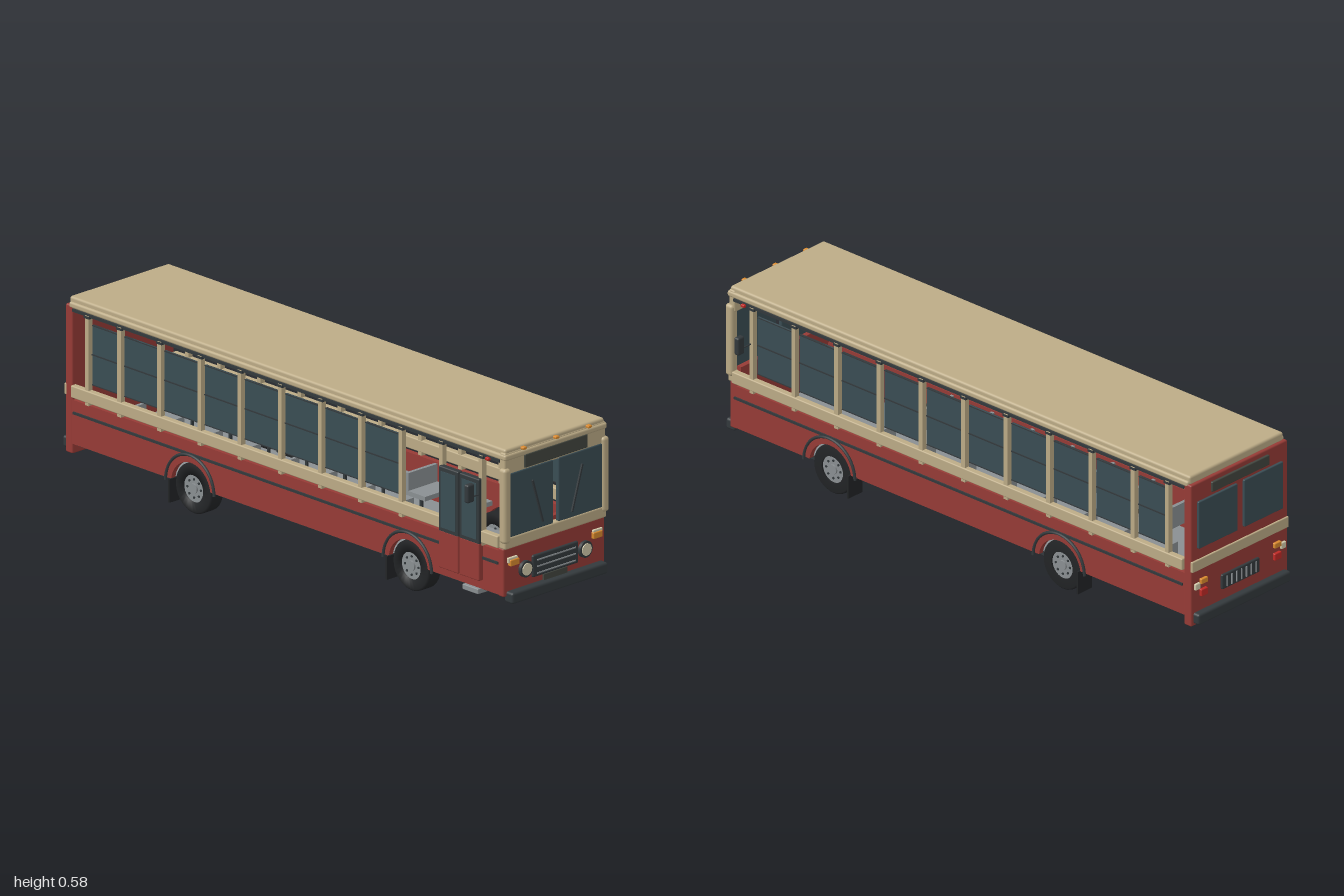
import * as THREE from 'three';
import { RoundedBoxGeometry } from 'three/addons/geometries/RoundedBoxGeometry.js';

const mat = (color) => new THREE.MeshStandardMaterial({ color });
const RED = mat(0x963b36), BEIGE = mat(0xbcab86), DARK = mat(0x33393c), GLASS = mat(0x3a4d54),
  BLACK = mat(0x222426), GREY = mat(0x8a8f92), ORANGE = mat(0xd98a2e), CREAM = mat(0xd2caab),
  LAMP = mat(0xc02a26), SIGN = mat(0x42463f);

export function createModel() {
  const bus = new THREE.Group();
  bus.name = 'bus';

  const add = (name, geo, material, x = 0, y = 0, z = 0) => {
    const m = new THREE.Mesh(geo, material);
    m.name = name;
    m.position.set(x, y, z);
    bus.add(m);
    return m;
  };
  // Box given by its limits; r > 0 rounds the edges
  const box = (name, material, [x0, x1], [y0, y1], [z0, z1], r = 0) => {
    const s = [x1 - x0, y1 - y0, z1 - z0];
    const geo = r ? new RoundedBoxGeometry(...s, 2, r) : new THREE.BoxGeometry(...s);
    return add(name, geo, material, (x0 + x1) / 2, (y0 + y1) / 2, (z0 + z1) / 2);
  };
  // The same box on both sides, given for +x
  const pair = (name, material, [x0, x1], y, z, r = 0) => {
    box(name, material, [x0, x1], y, z, r);
    box(name, material, [-x1, -x0], y, z, r);
  };

  // Lower side walls with wheel cut-outs
  const axles = [-0.42, 0.548], wheelY = 0.082, cut = 0.088, sill = 0.095;
  const a = Math.asin((sill - wheelY) / cut);
  const wall = new THREE.Shape();
  wall.moveTo(-0.95, sill);
  for (const z of axles) {
    wall.lineTo(z - cut * Math.cos(a), sill);
    wall.absarc(z, wheelY, cut, Math.PI - a, a, true);
  }
  wall.lineTo(0.96, sill).lineTo(0.96, 0.24).lineTo(-0.95, 0.24);
  const wallGeo = new THREE.ExtrudeGeometry(wall, { depth: 0.018, bevelEnabled: false, curveSegments: 16 });
  wallGeo.rotateY(-Math.PI / 2);
  add('sideWall', wallGeo, RED, 0.218);
  add('sideWall', wallGeo, RED, -0.2);

  // Floor and underside
  box('underside', DARK, [-0.2, 0.2], [0.085, 0.1], [-0.95, 0.95]);
  box('floor', GREY, [-0.2, 0.2], [0.1, 0.11], [-0.95, 0.95]);

  // Side trim and window rails
  pair('rubStrip', DARK, [0.216, 0.223], [0.195, 0.203], [-0.94, 0.95]);
  pair('beltRail', BEIGE, [0.205, 0.228], [0.25, 0.29], [-0.945, 0.955], 0.004);
  pair('dripRail', DARK, [0.205, 0.221], [0.531, 0.54], [-0.945, 0.955]);

  // Window posts and hung glass panes
  const posts = [0.875, 0.698, 0.518, 0.339, 0.161, -0.018, -0.197, -0.376, -0.555, -0.733, -0.877];
  posts.forEach((z, i) => {
    pair('windowPost', BEIGE, [0.206, 0.224], [0.24, 0.535], [z - 0.008, z + 0.008]);
    pair('railClip', DARK, [0.215, 0.225], [0.526, 0.534], [z - 0.012, z + 0.012]);
    if (i === posts.length - 1) return;
    const span = [posts[i + 1] + 0.013, z - 0.015];
    for (const s of [1, -1]) {
      if (s < 0 && i < 2) continue; // door and open bay on this side
      const xs = (p, q) => (s > 0 ? [p, q] : [-q, -p]);
      box('sideWindow', GLASS, xs(0.206, 0.212), [0.308, 0.506], span);
      box('windowRail', DARK, xs(0.205, 0.215), [0.407, 0.411], span);
      for (const y of [0.308, 0.503]) box('windowEdge', DARK, xs(0.205, 0.214), [y, y + 0.003], span);
    }
  });

  // Roof
  box('roof', BEIGE, [-0.213, 0.213], [0.545, 0.576], [-0.965, 0.975], 0.008);
  box('roofEdge', BEIGE, [-0.22, 0.22], [0.54, 0.56], [-0.962, 0.982], 0.007);

  // Front end
  box('frontWall', RED, [-0.218, 0.218], [0.09, 0.25], [0.945, 0.972], 0.006);
  box('dashboard', RED, [-0.2, 0.2], [0.24, 0.3], [0.94, 0.957]);
  box('frontBelt', BEIGE, [-0.219, 0.219], [0.248, 0.286], [0.95, 0.98], 0.006);
  box('frontHeader', BEIGE, [-0.217, 0.217], [0.49, 0.565], [0.952, 0.977], 0.006);
  pair('cornerPillar', BEIGE, [0.197, 0.226], [0.268, 0.515], [0.955, 0.987], 0.011);
  pair('windshield', GLASS, [0.012, 0.2], [0.285, 0.495], [0.965, 0.98], 0.004);
  box('frontSign', SIGN, [-0.135, 0.135], [0.499, 0.543], [0.97, 0.983], 0.003);
  box('frontBumper', DARK, [-0.206, 0.206], [0.071, 0.108], [0.962, 1.0], 0.008);
  box('numberPlate', SIGN, [-0.051, 0.051], [0.105, 0.127], [0.97, 0.979]);
  box('frontGrille', DARK, [-0.098, 0.098], [0.128, 0.2], [0.965, 0.98], 0.005);
  for (const y of [0.14, 0.162, 0.183]) box('grilleBar', GREY, [-0.083, 0.083], [y - 0.002, y + 0.002], [0.978, 0.983]);
  pair('signalHousing', CREAM, [0.162, 0.203], [0.2, 0.218], [0.965, 0.979], 0.003);
  pair('turnSignal', ORANGE, [0.159, 0.198], [0.19, 0.211], [0.968, 0.984], 0.003);
  for (const x of [-0.14, 0, 0.14]) box('roofLight', ORANGE, [x - 0.008, x + 0.008], [0.562, 0.571], [0.967, 0.988], 0.003);

  const disc = (r, d) => new THREE.CylinderGeometry(r, r, d, 24).rotateX(Math.PI / 2);
  for (const s of [1, -1]) {
    add('headlightRing', disc(0.027, 0.014), DARK, s * 0.128, 0.165, 0.976);
    add('headlight', disc(0.02, 0.014), CREAM, s * 0.128, 0.165, 0.979);
    const wiper = add('wiper', new THREE.BoxGeometry(0.006, 0.153, 0.006), DARK, s * 0.085, 0.38, 0.986);
    wiper.rotation.z = -s * 0.295;
    const arm = add('mirrorArm', new THREE.CylinderGeometry(0.0025, 0.0025, 0.056, 8), DARK, s * 0.238, 0.41, 0.878);
    arm.rotation.z = Math.PI / 2;
  }
  pair('mirror', DARK, [0.26, 0.29], [0.395, 0.455], [0.868, 0.888], 0.006);
  pair('sideMarker', LAMP, [0.216, 0.23], [0.528, 0.538], [0.9, 0.916], 0.003);

  // Rear end
  box('rearWall', RED, [-0.219, 0.219], [0.062, 0.55], [-0.976, -0.945], 0.005);
  box('rearBelt', BEIGE, [-0.219, 0.219], [0.25, 0.287], [-0.982, -0.97], 0.003);
  pair('rearWindow', GLASS, [0.015, 0.192], [0.325, 0.487], [-0.984, -0.97], 0.003);
  box('rearSign', SIGN, [-0.13, 0.13], [0.499, 0.533], [-0.984, -0.97], 0.003);
  box('rearBumper', DARK, [-0.21, 0.21], [0.071, 0.108], [-1.0, -0.97], 0.008);
  box('rearGrille', DARK, [-0.085, 0.085], [0.145, 0.195], [-0.984, -0.97], 0.004);
  for (let i = -3; i <= 3; i++) box('rearGrilleBar', GREY, [i * 0.022 - 0.002, i * 0.022 + 0.002], [0.152, 0.188], [-0.987, -0.98]);
  pair('rearSignal', ORANGE, [0.152, 0.182], [0.199, 0.217], [-0.986, -0.97], 0.003);
  pair('reverseLight', CREAM, [0.184, 0.206], [0.185, 0.207], [-0.984, -0.97], 0.003);
  pair('tailLight', LAMP, [0.152, 0.182], [0.157, 0.181], [-0.986, -0.97], 0.003);

  // Folding door and its step
  for (const z of [0.7, 0.793]) {
    const zz = [z, z + 0.088];
    box('doorPanel', RED, [-0.236, -0.215], [0.125, 0.25], zz, 0.004);
    box('doorFrame', DARK, [-0.236, -0.215], [0.245, 0.46], zz, 0.004);
    box('doorWindow', GLASS, [-0.238, -0.22], [0.26, 0.445], [z + 0.012, z + 0.076]);
  }
  box('doorStep', GREY, [-0.22, -0.13], [0.072, 0.09], [0.79, 0.86], 0.003);

  // Wheels, arch trims and mud flaps
  const tyre = new THREE.LatheGeometry([[0.045, -0.028], [0.076, -0.028], [0.082, -0.022], [0.082, 0.022],
    [0.076, 0.028], [0.045, 0.028], [0.045, -0.028]].map(([r, y]) => new THREE.Vector2(r, y)), 28).rotateZ(Math.PI / 2);
  const axial = (r, d, n) => new THREE.CylinderGeometry(r, r, d, n).rotateZ(Math.PI / 2);
  const arch = new THREE.TorusGeometry(0.108, 0.005, 6, 28, Math.PI).rotateY(Math.PI / 2);
  for (const z of axles) {
    for (const s of [1, -1]) {
      add('tyre', tyre, BLACK, s * 0.18, wheelY, z);
      add('wheelRim', axial(0.046, 0.044, 24), GREY, s * 0.18, wheelY, z);
      add('wheelHub', axial(0.016, 0.056, 12), GREY, s * 0.18, wheelY, z);
      for (let i = 0; i < 8; i++) {
        const t = i * Math.PI / 4;
        add('wheelNut', axial(0.004, 0.05, 6), DARK, s * 0.18, wheelY + 0.03 * Math.sin(t), z + 0.03 * Math.cos(t));
      }
      add('archTrim', arch, DARK, s * 0.222, 0.088, z);
    }
    pair('mudFlap', BLACK, [0.165, 0.23], [0.02, 0.097], [z - 0.088, z - 0.082]);
  }

  // Low bench seats with legs passing through the floor
  for (let i = 0; i < 8; i++) {
    const z = 0.42 - i * 0.17;
    pair('seatCushion', GREY, [0.07, 0.195], [0.165, 0.18], [z, z + 0.075]);
    pair('seatBack', GREY, [0.07, 0.195], [0.165, 0.238], [z - 0.012, z]);
    pair('seatLeg', DARK, [0.09, 0.098], [0.08, 0.166], [z + 0.03, z + 0.038]);
  }
  return bus;
}
